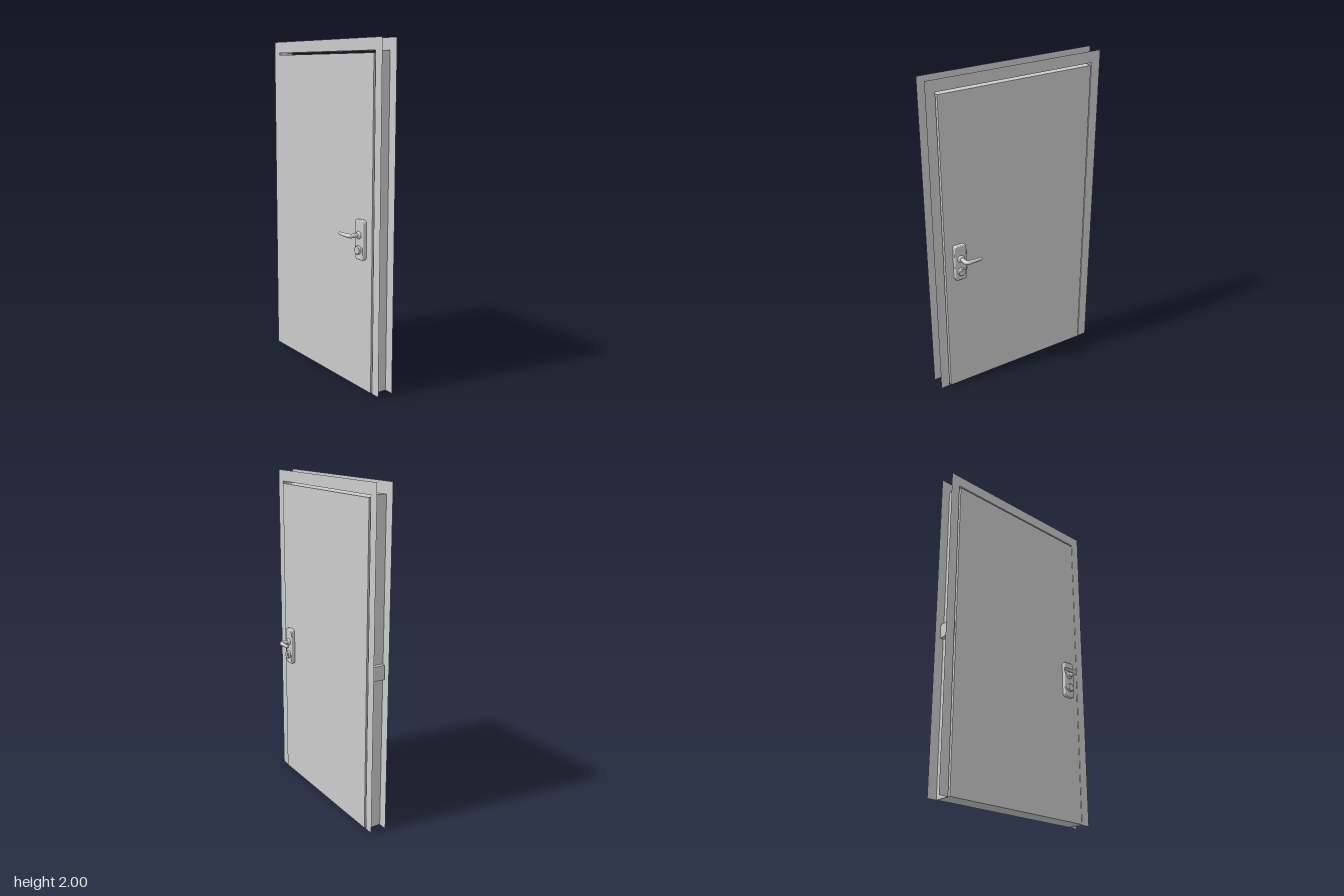
import * as THREE from 'three';

const material = new THREE.MeshStandardMaterial({ color: 0xcccccc });
const sheet = new THREE.MeshStandardMaterial({ color: 0xcccccc, side: THREE.DoubleSide });

function add(parent, name, geometry, mat = material) {
  const mesh = new THREE.Mesh(geometry, mat);
  mesh.name = name;
  parent.add(mesh);
  return mesh;
}

function box(parent, name, w, h, d, x, y, z) {
  return add(parent, name, new THREE.BoxGeometry(w, h, d).translate(x, y, z));
}

// Upside-down U outline of the frame, in (z, y)
function casingShape() {
  const s = new THREE.Shape();
  [[-0.557, 0], [-0.499, 0], [-0.499, 1.932], [0.499, 1.932], [0.499, 0], [0.557, 0], [0.557, 2], [-0.557, 2]]
    .forEach(([z, y], i) => (i ? s.lineTo(z, y) : s.moveTo(z, y)));
  s.closePath();
  return s;
}

// Thin sheet-metal frame: two flat casings joined by a three-sided lining
function makeFrame() {
  const frame = new THREE.Group();
  frame.name = 'frame';
  for (const s of [1, -1]) {
    const g = new THREE.ShapeGeometry(casingShape()).rotateY(s * Math.PI / 2).translate(s * 0.049, 0, 0);
    add(frame, s > 0 ? 'leftCasing' : 'rightCasing', g, sheet);
    const jamb = new THREE.PlaneGeometry(0.098, 1.932).rotateY(s > 0 ? 0 : Math.PI).translate(0, 0.966, s * 0.499);
    add(frame, s > 0 ? 'frontJamb' : 'backJamb', jamb, sheet);
  }
  add(frame, 'headJamb', new THREE.PlaneGeometry(0.098, 0.998).rotateX(-Math.PI / 2).translate(0, 1.932, 0), sheet);
  // Box on the outside of the back jamb
  box(frame, 'jambBox', 0.086, 0.085, 0.035, 0, 0.96, -0.5075);
  return frame;
}

// Rounded, softly bevelled backplate lying against the door face
function plateGeometry(s) {
  const w = 0.033, h = 0.109, r = 0.012, b = 0.006;
  const p = new THREE.Shape();
  p.absarc(w - r, h - r, r, 0, Math.PI / 2);
  p.absarc(r - w, h - r, r, Math.PI / 2, Math.PI);
  p.absarc(r - w, r - h, r, Math.PI, Math.PI * 1.5);
  p.absarc(w - r, r - h, r, Math.PI * 1.5, Math.PI * 2);
  p.closePath();
  const g = new THREE.ExtrudeGeometry(p, {
    depth: 0.016, bevelThickness: b, bevelSize: b, bevelSegments: 3, curveSegments: 5,
  });
  return g.rotateY(s * Math.PI / 2).translate(s * 0.056, 0.89, 0.401);
}

// Turned part whose axis points away from the door
function turned(points, s, y) {
  return new THREE.LatheGeometry(points.map(([r, d]) => new THREE.Vector2(r, d)), 24)
    .rotateZ(-s * Math.PI / 2).translate(s * 0.076, y, 0.4);
}

// Bent lever, swept along its path and thinned towards the tip
function leverGeometry(s) {
  const v = (x, z) => new THREE.Vector3(s * x, 0.918, z);
  const path = new THREE.CurvePath();
  path.add(new THREE.LineCurve3(v(0.08, 0.398), v(0.115, 0.398)));
  path.add(new THREE.QuadraticBezierCurve3(v(0.115, 0.398), v(0.138, 0.398), v(0.139, 0.372)));
  path.add(new THREE.LineCurve3(v(0.139, 0.372), v(0.137, 0.296)));
  const rings = 28, sides = 14;
  const g = new THREE.TubeGeometry(path, rings, 0.0125, sides, false);
  const pos = g.attributes.position, p = new THREE.Vector3();
  for (let i = 0; i <= rings; i++) {
    const t = i / rings;
    const c = path.getPointAt(t);
    const k = t > 0.97 ? 0.55 : 1 - 0.25 * Math.max(0, t - 0.4) / 0.6;
    for (let j = 0; j <= sides; j++) {
      const n = i * (sides + 1) + j;
      p.fromBufferAttribute(pos, n).sub(c).multiplyScalar(k).add(c);
      pos.setXYZ(n, p.x, p.y, p.z);
    }
  }
  g.computeVertexNormals();
  return g;
}

function makeHandle(s) {
  const handle = new THREE.Group();
  handle.name = s > 0 ? 'leftHandle' : 'rightHandle';
  add(handle, 'backplate', plateGeometry(s));
  add(handle, 'collar', turned([[0.023, 0], [0.022, 0.006], [0.019, 0.01], [0.016, 0.014], [0, 0.014]], s, 0.918));
  add(handle, 'lever', leverGeometry(s));
  const tip = new THREE.SphereGeometry(0.007, 12, 8).scale(1, 1, 0.35).translate(s * 0.137, 0.918, 0.296);
  add(handle, 'leverTip', tip);
  // Lock cylinder with a slim key slot
  add(handle, 'lockCylinder', turned([[0.0245, 0], [0.0245, 0.014], [0.022, 0.017], [0.018, 0.017], [0.017, 0.015], [0, 0.015]], s, 0.833));
  box(handle, 'keySlot', 0.002, 0.016, 0.004, s * 0.0915, 0.833, 0.4);
  return handle;
}

export function createModel() {
  const door = new THREE.Group();
  door.name = 'door';
  door.add(makeFrame());
  box(door, 'doorLeaf', 0.108, 1.916, 0.982, 0, 0.961, 0);
  door.add(makeHandle(1), makeHandle(-1));
  return door;
}
